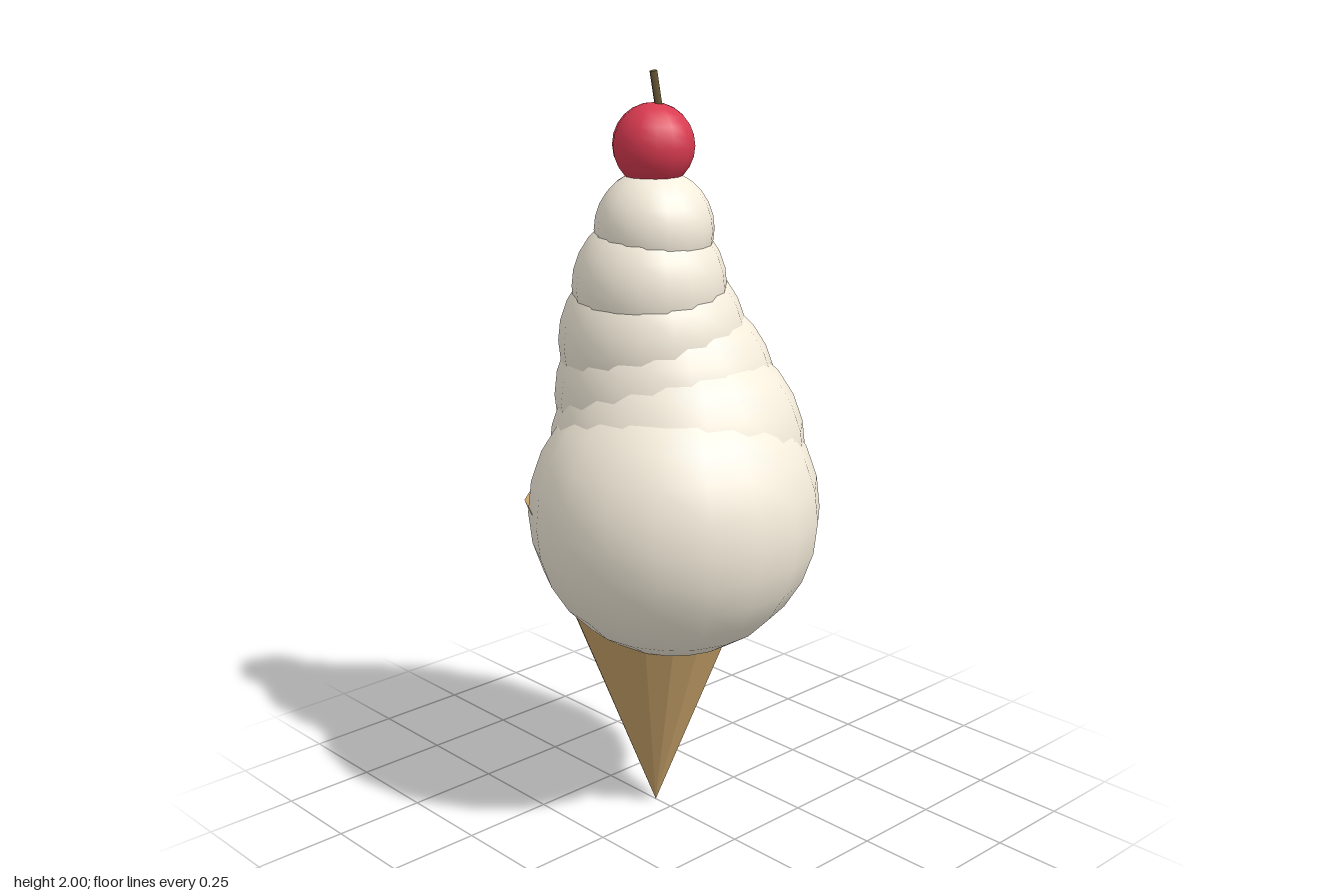
import * as THREE from 'three';

export function createModel() {
  const group = new THREE.Group();
  const axisX = -0.06;

  const add = (name, geometry, color, x, y, z, flatShading = false) => {
    const material = new THREE.MeshStandardMaterial({ color, flatShading });
    const mesh = new THREE.Mesh(geometry, material);
    mesh.name = name;
    mesh.position.set(x, y, z);
    group.add(mesh);
    return mesh;
  };

  // Wafer cone, point down
  const coneHeight = 0.89;
  const cone = new THREE.CylinderGeometry(0.345, 0, coneHeight, 18);
  add('waferCone', cone, 0xc9a36a, axisX, coneHeight / 2, 0, true);

  // Soft-serve swirl: shrinking balls winding up a narrowing spiral
  const count = 6;
  for (let i = 0; i < count; i++) {
    const angle = i * 0.85;
    const offset = 0.075 - i * 0.015;
    const ball = new THREE.SphereGeometry(0.383 - i * 0.046, 18, 14);
    ball.rotateY(Math.PI / 2);
    add(`creamSwirl${i + 1}`, ball, 0xf5eddc,
      axisX + Math.cos(angle) * offset,
      0.875 + i * 0.146,
      -Math.sin(angle) * offset);
  }

  // Cherry and its tilted stem
  const cherry = new THREE.SphereGeometry(0.105, 14, 12);
  cherry.rotateY(Math.PI / 2);
  add('cherry', cherry, 0xd93a50, axisX - 0.002, 1.815, 0);

  const stem = add('cherryStem', new THREE.CylinderGeometry(0.01, 0.01, 0.12, 6),
    0x6b5a35, -0.048, 1.939, 0.001);
  stem.rotation.x = 0.2;

  return group;
}
